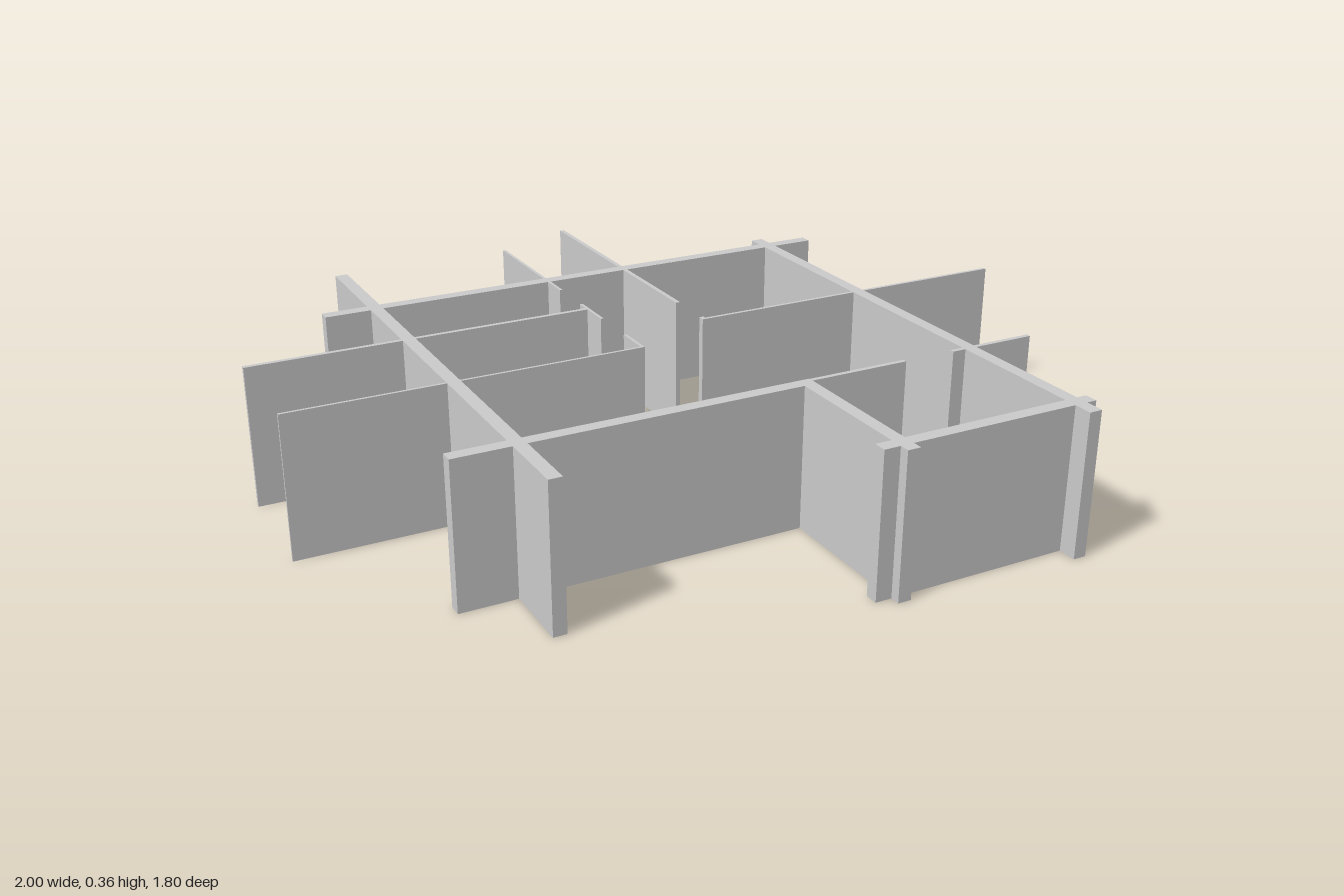
import * as THREE from 'three';

const HEIGHT = 0.36;

// Each wall: name, x range, z range
const WALLS = [
  // thick outer walls, overrunning at the corners
  ['outerWallRight', -0.613, -0.58, -0.787, 0.66],
  ['outerWallBack', -0.732, 0.711, -0.504, -0.471],
  ['outerWallLeft', 0.563, 0.596, -0.547, 0.897],
  ['outerWallFront', -0.753, 0.13, 0.447, 0.48],
  ['bayWallSide', 0.097, 0.13, 0.447, 0.875],
  ['bayWallFront', 0.056, 0.622, 0.817, 0.85],
  // thin partitions running front to back, with door gaps
  ['corridorPartitionBack', -0.119, -0.111, -0.794, -0.393],
  ['corridorPartitionMiddle', -0.119, -0.111, -0.265, -0.139],
  ['corridorPartitionFront', -0.119, -0.111, -0.008, 0.09],
  ['centrePartition', 0.107, 0.119, -0.9, -0.16],
  ['centrePartitionStub', 0.107, 0.119, -0.034, -0.016],
  // thin partitions running across
  ['crossPartitionLeft', 0.107, 1, -0.025, -0.016],
  ['crossPartitionRightBack', -1, -0.111, -0.231, -0.219],
  ['crossPartitionRightFront', -1, -0.111, 0.084, 0.091],
  ['bayPartitionInner', 0.13, 0.39, 0.449, 0.461],
  ['bayPartitionOuter', 0.527, 0.759, 0.449, 0.461],
];

export function createModel() {
  const group = new THREE.Group();
  group.name = 'floorPlanWalls';
  const material = new THREE.MeshStandardMaterial({ color: 0xcccccc });
  for (const [name, x0, x1, z0, z1] of WALLS) {
    const wall = new THREE.Mesh(new THREE.BoxGeometry(x1 - x0, HEIGHT, z1 - z0), material);
    wall.position.set((x0 + x1) / 2, HEIGHT / 2, (z0 + z1) / 2);
    wall.name = name;
    group.add(wall);
  }
  return group;
}
